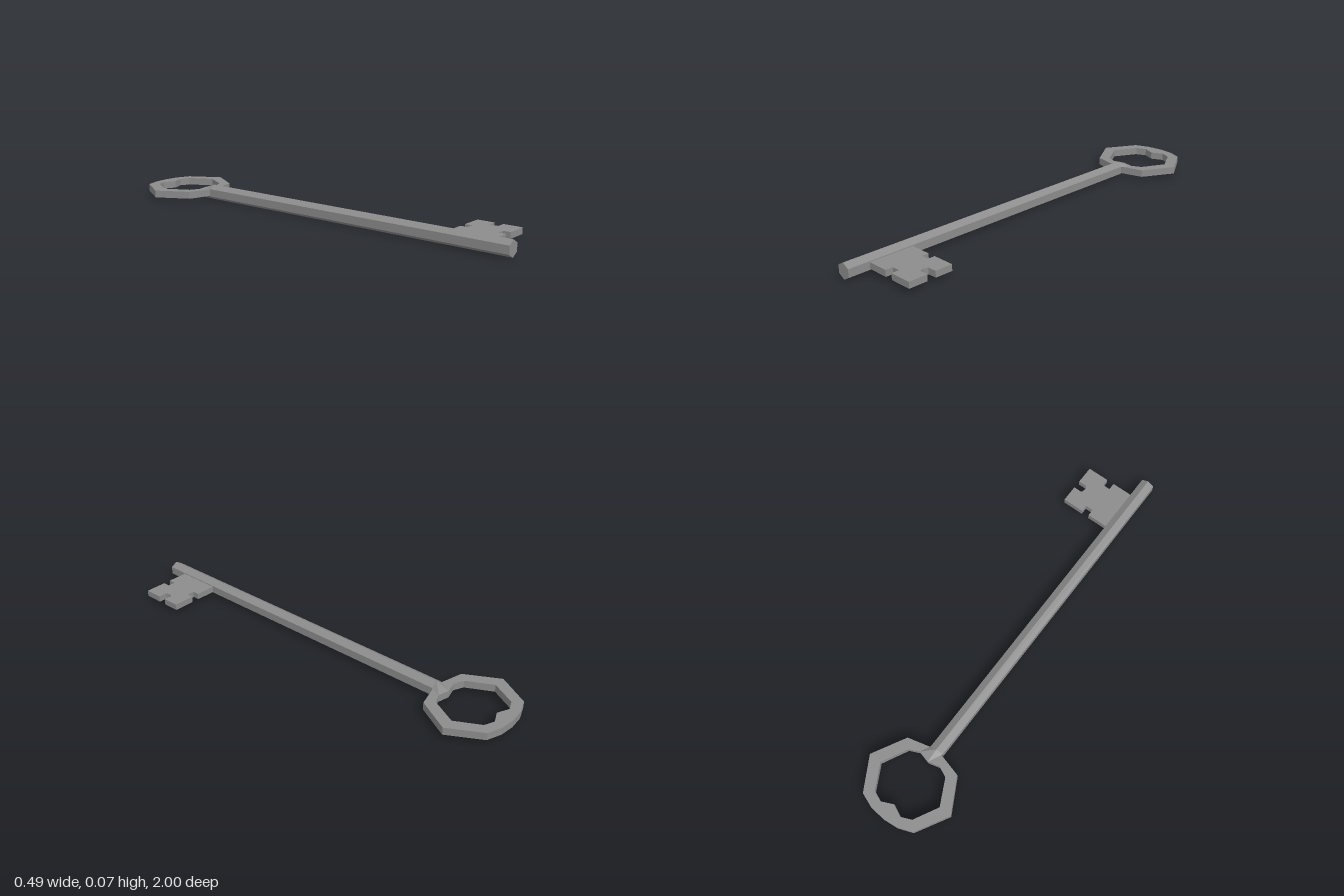
import * as THREE from 'three';

const AXIS = -0.025; // x of the shaft
const MID = 0.0365;  // y of the shaft
const HALF = 0.017;  // half thickness of the bow

export function createModel() {
  const key = new THREE.Group();
  key.name = 'key';
  const iron = new THREE.MeshStandardMaterial({ color: 0x8c8c8c, flatShading: true });
  iron.name = 'iron';

  const add = (name, geometry) => {
    const mesh = new THREE.Mesh(geometry, iron);
    mesh.name = name;
    key.add(mesh);
  };

  // Outline in x and z, mirrored across the shaft axis
  const mirrored = (half) => [
    ...half,
    ...half.filter(([x]) => x > 0).reverse().map(([x, z]) => [-x, z]),
  ].map(([x, z]) => new THREE.Vector2(x + AXIS, z));

  // Flat plate lying in the xz plane, centred on the shaft height
  const plate = (shape, halfHeight) => {
    const geometry = new THREE.ExtrudeGeometry(shape, { depth: 2 * halfHeight, bevelEnabled: false });
    geometry.rotateX(Math.PI / 2);
    geometry.translate(0, MID + halfHeight, 0);
    return geometry;
  };

  // Bow: ring with an angular outline and a notched opening
  const bow = new THREE.Shape(mirrored([
    [0, -1], [0.07, -0.993], [0.137, -0.968], [0.222, -0.82],
    [0.137, -0.667], [0.031, -0.64], [0, -0.635],
  ]));
  bow.holes.push(new THREE.Path(mirrored([
    [0, -0.925], [0.055, -0.95], [0.102, -0.93], [0.162, -0.82],
    [0.102, -0.705], [0.055, -0.684], [0, -0.698],
  ])));
  add('bow', plate(bow, HALF));

  // Shaft: six-sided rod with its ridges at top and bottom
  const shaft = new THREE.CylinderGeometry(0.0365, 0.0365, 1.635, 6);
  shaft.rotateX(Math.PI / 2);
  shaft.translate(AXIS, MID, 0.1825);
  add('shaft', shaft);

  // Collar: wedges blending the shaft ridges into the bow, above and below
  const ridge = [0, 0.0365, -0.635];
  const right = [0.0316, 0.018, -0.635];
  const left = [-0.0316, 0.018, -0.635];
  const inner = [0.055, HALF, -0.684];
  const centre = [0, HALF, -0.698];
  const wedge = new THREE.BufferGeometry();
  wedge.setAttribute('position', new THREE.Float32BufferAttribute([
    ridge, right, inner,
    ridge, inner, centre,
    ridge, centre, left,
  ].flat(), 3));
  wedge.computeVertexNormals();
  for (const [name, turn] of [['upperCollar', 0], ['lowerCollar', Math.PI]]) {
    const collar = wedge.clone();
    collar.rotateZ(turn);
    collar.translate(AXIS, MID, 0);
    add(name, collar);
  }

  // Bit: notched plate beside the tip of the shaft
  const bit = new THREE.Shape([
    [0, 0.69], [0.106, 0.69], [0.106, 0.723], [0.143, 0.723], [0.143, 0.69],
    [0.247, 0.69], [0.247, 0.772], [0.205, 0.772], [0.199, 0.792], [0.205, 0.812],
    [0.247, 0.812], [0.247, 0.9], [0.143, 0.9], [0.143, 0.865], [0.106, 0.865],
    [0.106, 0.9], [0, 0.9],
  ].map(([x, z]) => new THREE.Vector2(x, z)));
  add('bit', plate(bit, 0.0145));

  return key;
}
